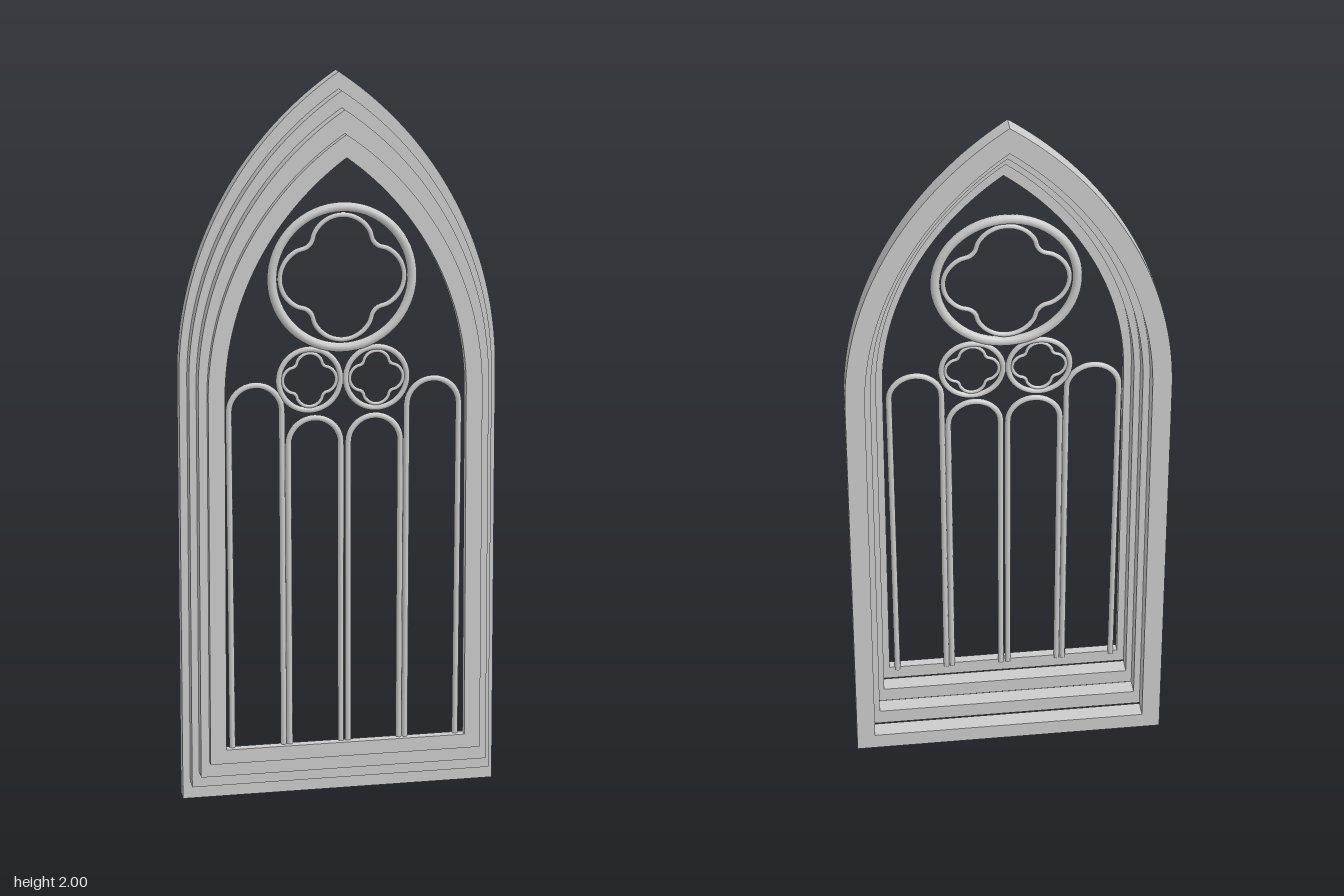
import * as THREE from 'three';
import { toCreasedNormals } from 'three/addons/utils/BufferGeometryUtils.js';

const stone = new THREE.MeshStandardMaterial({ color: 0xcccccc });

function add(parent, name, geometry, x = 0, y = 0, z = 0) {
  const mesh = new THREE.Mesh(geometry, stone);
  mesh.name = name;
  mesh.position.set(x, y, z);
  parent.add(mesh);
  return mesh;
}

// Closed pointed-arch outline: slightly splayed jambs, two arcs meeting at the apex
function pointedArch(PathType, baseHalf, springHalf, bottom, spring, top) {
  const rise = top - spring;
  const R = (springHalf ** 2 + rise ** 2) / (2 * springHalf);
  const end = Math.asin(rise / R);
  const path = new PathType();
  path.moveTo(-baseHalf, bottom);
  path.lineTo(baseHalf, bottom);
  path.lineTo(springHalf, spring);
  path.absarc(springHalf - R, spring, R, 0, end, false);
  path.absarc(R - springHalf, spring, R, Math.PI - end, Math.PI, false);
  path.closePath();
  return path;
}

// One stepped order of the frame, scaled about the middle of the window
function frameOrder(s, bottom, depth) {
  const y = v => bottom + v * s;
  const shape = pointedArch(THREE.Shape, 0.44 * s, 0.432 * s, y(0), y(1.19), y(2));
  shape.holes.push(pointedArch(THREE.Path, 0.388 * s, 0.38 * s, y(0.047), y(1.19), y(1.93)));
  const g = new THREE.ExtrudeGeometry(shape, { depth, bevelEnabled: false, curveSegments: 20 });
  return toCreasedNormals(g, 0.5);
}

// Upright bars joined by a round arch, as one continuous rod
function lancet(halfWidth, bottom, spring, radius) {
  const path = new THREE.CurvePath();
  const pts = [];
  for (let i = 0; i <= 16; i++) {
    const a = Math.PI * (1 - i / 16);
    pts.push(new THREE.Vector3(halfWidth * Math.cos(a), spring + halfWidth * Math.sin(a), 0));
  }
  path.add(new THREE.LineCurve3(new THREE.Vector3(-halfWidth, bottom, 0), pts[0]));
  path.add(new THREE.CatmullRomCurve3(pts));
  path.add(new THREE.LineCurve3(pts[16], new THREE.Vector3(halfWidth, bottom, 0)));
  return new THREE.TubeGeometry(path, 160, radius, 8, false);
}

// Four semicircular lobes forming a closed rod
function quatrefoil(lobe, radius) {
  const pts = [];
  for (let k = 0; k < 4; k++) {
    const dir = k * Math.PI / 2;
    for (let i = 0; i < 10; i++) {
      const a = dir - Math.PI / 2 + Math.PI * (i + 0.5) / 10;
      pts.push(new THREE.Vector3(
        lobe * (Math.cos(dir) + Math.cos(a)),
        lobe * (Math.sin(dir) + Math.sin(a)), 0));
    }
  }
  return new THREE.TubeGeometry(new THREE.CatmullRomCurve3(pts, true), 120, radius, 8, true);
}

export function createModel() {
  const model = new THREE.Group();
  model.name = 'gothicWindow';

  // Stepped frame, from the back order to the front one
  const frame = new THREE.Group();
  frame.name = 'frame';
  model.add(frame);
  const orders = [
    [1, 0, -0.082, -0.034],
    [0.9525, 0.05, -0.034, 0.011],
    [0.908, 0.095, 0.011, 0.056],
    [0.855, 0.14, 0.056, 0.081],
  ];
  orders.forEach(([s, bottom, z0, z1], i) =>
    add(frame, `frameOrder${i + 1}`, frameOrder(s, bottom, z1 - z0), 0, 0, z0));

  // Tracery inside the opening
  const tracery = new THREE.Group();
  tracery.name = 'tracery';
  tracery.position.z = 0.06;
  model.add(tracery);

  // Four lancets, the outer pair taller
  for (const side of [-1, 1]) {
    add(tracery, 'outerLancet', lancet(0.071, 0.17, 1.12, 0.0085), side * 0.24 - 0.002);
    add(tracery, 'innerLancet', lancet(0.071, 0.17, 1.025, 0.0085), side * 0.081 - 0.002);
    // Small round lights above the inner lancets
    const x = side * 0.09 - 0.006;
    add(tracery, 'smallRing', new THREE.TorusGeometry(0.083, 0.008, 8, 48), x, 1.2);
    add(tracery, 'smallQuatrefoil', quatrefoil(0.036, 0.005), x, 1.2);
  }

  // Large round light at the head
  add(tracery, 'largeRing', new THREE.TorusGeometry(0.187, 0.013, 10, 64), -0.008, 1.472);
  add(tracery, 'largeQuatrefoil', quatrefoil(0.083, 0.007), -0.008, 1.472);

  return model;
}
